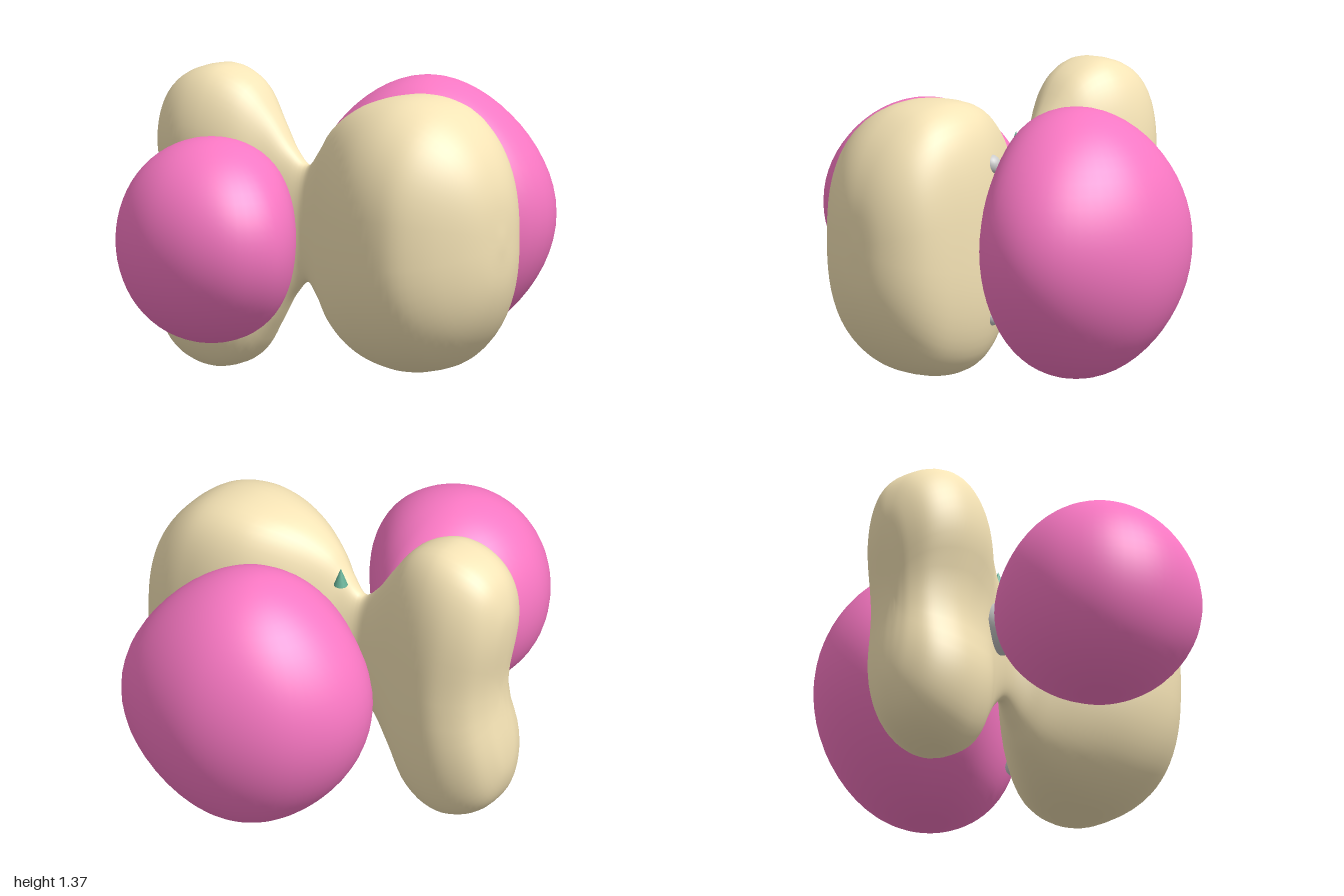
import * as THREE from 'three';
import { mergeVertices } from 'three/addons/utils/BufferGeometryUtils.js';

const MID = 0.685; // height of the mirror plane
const BEIGE = 0xf6e4b6, PINK = 0xfa78c4, TEAL = 0x66b096, BLUE = 0x0000ff, GREY = 0xcccccc;

function addMesh(parent, name, geometry, color) {
  const mesh = new THREE.Mesh(geometry, new THREE.MeshStandardMaterial({ color }));
  mesh.name = name;
  parent.add(mesh);
  return mesh;
}

// Smooth skin over rows of closed loops; collapsed end rows are welded.
function skin(rows) {
  const n = rows[0].length, pos = [], index = [];
  rows.forEach(row => row.forEach(p => pos.push(p.x, p.y, p.z)));
  for (let i = 0; i < rows.length - 1; i++) {
    for (let j = 0; j < n; j++) {
      const k = (j + 1) % n;
      const a = i * n + j, b = i * n + k, c = a + n, d = b + n;
      if (i > 0) index.push(a, b, c);
      if (i < rows.length - 2) index.push(b, d, c);
    }
  }
  let g = new THREE.BufferGeometry();
  g.setAttribute('position', new THREE.Float32BufferAttribute(pos, 3));
  g.setIndex(index);
  g = mergeVertices(g, 1e-5);
  g.computeVertexNormals();
  return g;
}

// Rounded lobe: a plan outline [x, z] shrinking toward a centre, turning circular at the poles.
function lobe(outline, cx, cz, halfHeight, radius) {
  const curve = new THREE.CatmullRomCurve3(outline.map(([x, z]) => new THREE.Vector3(x, 0, z)), true);
  const ring = curve.getSpacedPoints(56).slice(0, -1);
  const rows = [];
  for (let i = 0; i <= 32; i++) {
    const t = Math.PI * i / 32, round = Math.cos(t) ** 2;
    rows.push(ring.map(p => {
      const dx = p.x - cx, dz = p.z - cz;
      const r = Math.sin(t) * THREE.MathUtils.lerp(1, radius / Math.hypot(dx, dz), round);
      return new THREE.Vector3(cx + dx * r, MID + halfHeight * Math.cos(t), cz + dz * r);
    }));
  }
  return skin(rows);
}

// Two lobes joined by a neck: sections [distance, half width, half height] along a diagonal.
function joinedLobes() {
  const stations = [
    [-0.785, 0, 0], [-0.782, 0.05, 0.3], [-0.768, 0.11, 0.44], [-0.72, 0.19, 0.56],
    [-0.65, 0.235, 0.63], [-0.55, 0.262, 0.675], [-0.44, 0.255, 0.685], [-0.3, 0.21, 0.625],
    [-0.18, 0.135, 0.475], [-0.08, 0.09, 0.33], [0, 0.07, 0.265], [0.08, 0.1, 0.35],
    [0.16, 0.165, 0.455], [0.3, 0.27, 0.56], [0.45, 0.345, 0.613], [0.6, 0.377, 0.625],
    [0.75, 0.37, 0.59], [0.87, 0.32, 0.505], [0.965, 0.235, 0.38], [1.025, 0.13, 0.22], [1.045, 0, 0]];
  const curve = new THREE.CatmullRomCurve3(stations.map(s => new THREE.Vector3(...s)));
  const along = new THREE.Vector3(0.79, 0, 0.61), across = new THREE.Vector3(0.61, 0, -0.79);
  const rows = [], steps = 90, sides = 56;
  const power = (v, e) => Math.sign(v) * Math.abs(v) ** e;
  for (let i = 0; i <= steps; i++) {
    const st = curve.getPoint(i / steps);
    const w = Math.max(st.y, 0), h = Math.max(st.z, 0);
    const back = 1 - THREE.MathUtils.smoothstep(st.x, -0.4, 0);
    const end = 1 - THREE.MathUtils.smoothstep(st.x, -0.72, -0.3);
    const front = THREE.MathUtils.smoothstep(st.x, 0.1, 0.5);
    const tip = THREE.MathUtils.smoothstep(st.x, 0.7, 1);
    const e = 0.85 - 0.12 * back - 0.06 * front;
    const row = [];
    for (let j = 0; j < sides; j++) {
      const a = 2 * Math.PI * j / sides;
      let u = w * power(Math.cos(a), e);
      const y = h * power(Math.sin(a), e);
      // Waist between the upper and lower halves of the back lobe; outer side slightly fuller
      const dip = Math.exp(-((y / 0.24) ** 2));
      if (u < 0) u *= 1 + back * (0.12 - 0.36 * dip) + 0.07 * front;
      // Ridge and tip of the front lobe lean to one side
      u += 0.065 * front * Math.sin(a) ** 2 * (1 - tip) + 0.05 * tip;
      row.push(new THREE.Vector3(-0.12, MID + y, -0.03)
        .addScaledVector(along, st.x + 0.05 * end * dip)
        .addScaledVector(across, u));
    }
    rows.push(row);
  }
  return skin(rows);
}

// Thin rod between two points
function rod(parent, name, from, to, radius, color) {
  const a = new THREE.Vector3(...from), b = new THREE.Vector3(...to);
  const dir = b.clone().sub(a);
  const mesh = addMesh(parent, name, new THREE.CylinderGeometry(radius, radius, dir.length(), 12), color);
  mesh.position.copy(a).add(b).multiplyScalar(0.5);
  mesh.quaternion.setFromUnitVectors(new THREE.Vector3(0, 1, 0), dir.normalize());
}

function ball(parent, name, at, radius) {
  addMesh(parent, name, new THREE.SphereGeometry(radius, 24, 16), GREY).position.set(...at);
}

export function createModel() {
  const model = new THREE.Group();
  model.name = 'orbitalModel';

  // Large surface lobes
  addMesh(model, 'joinedBeigeLobes', joinedLobes(), BEIGE);
  addMesh(model, 'backPinkLobe', lobe([
    [-0.12, -0.52], [-0.07, -0.68], [0.07, -0.82], [0.3, -0.9], [0.52, -0.88], [0.75, -0.77],
    [0.92, -0.57], [0.995, -0.35], [0.965, -0.18], [0.84, -0.04], [0.68, 0.01], [0.4, -0.02],
    [0.16, -0.065], [0.03, -0.11], [-0.06, -0.22], [-0.1, -0.36]], 0.42, -0.39, 0.615, 0.49), PINK);
  addMesh(model, 'frontPinkLobe', lobe([
    [-1, 0.43], [-0.96, 0.25], [-0.84, 0.1], [-0.67, 0.005], [-0.47, -0.04], [-0.31, -0.01],
    [-0.22, 0.07], [-0.195, 0.22], [-0.19, 0.45], [-0.21, 0.65], [-0.28, 0.8], [-0.4, 0.875],
    [-0.53, 0.9], [-0.71, 0.86], [-0.88, 0.74], [-0.975, 0.58]], -0.57, 0.44, 0.465, 0.44), PINK);

  // Ball-and-stick frame inside
  const frame = new THREE.Group();
  frame.name = 'atomFrame';
  model.add(frame);
  const centre = [0.2, MID, -0.03], end = [-0.32, MID, -0.015];
  ball(frame, 'centreAtom', centre, 0.08);
  ball(frame, 'endAtom', end, 0.12);
  rod(frame, 'mainBond', end, centre, 0.02, GREY);
  for (const side of [-1, 1]) {
    const at = [0.41, MID + side * 0.345, 0];
    ball(frame, 'sideAtom', at, 0.045);
    rod(frame, 'sideBond', centre, at, 0.02, GREY);
  }

  // Axis arrows
  const arrows = new THREE.Group();
  arrows.name = 'axisArrows';
  model.add(arrows);
  addMesh(arrows, 'upAxisTip', new THREE.ConeGeometry(0.032, 0.085, 16), TEAL).position.set(-0.015, 1.065, -0.05);
  rod(arrows, 'sideAxisShaft', [-0.01, MID, -0.05], [0.43, MID, -0.01], 0.008, BLUE);

  return model;
}
